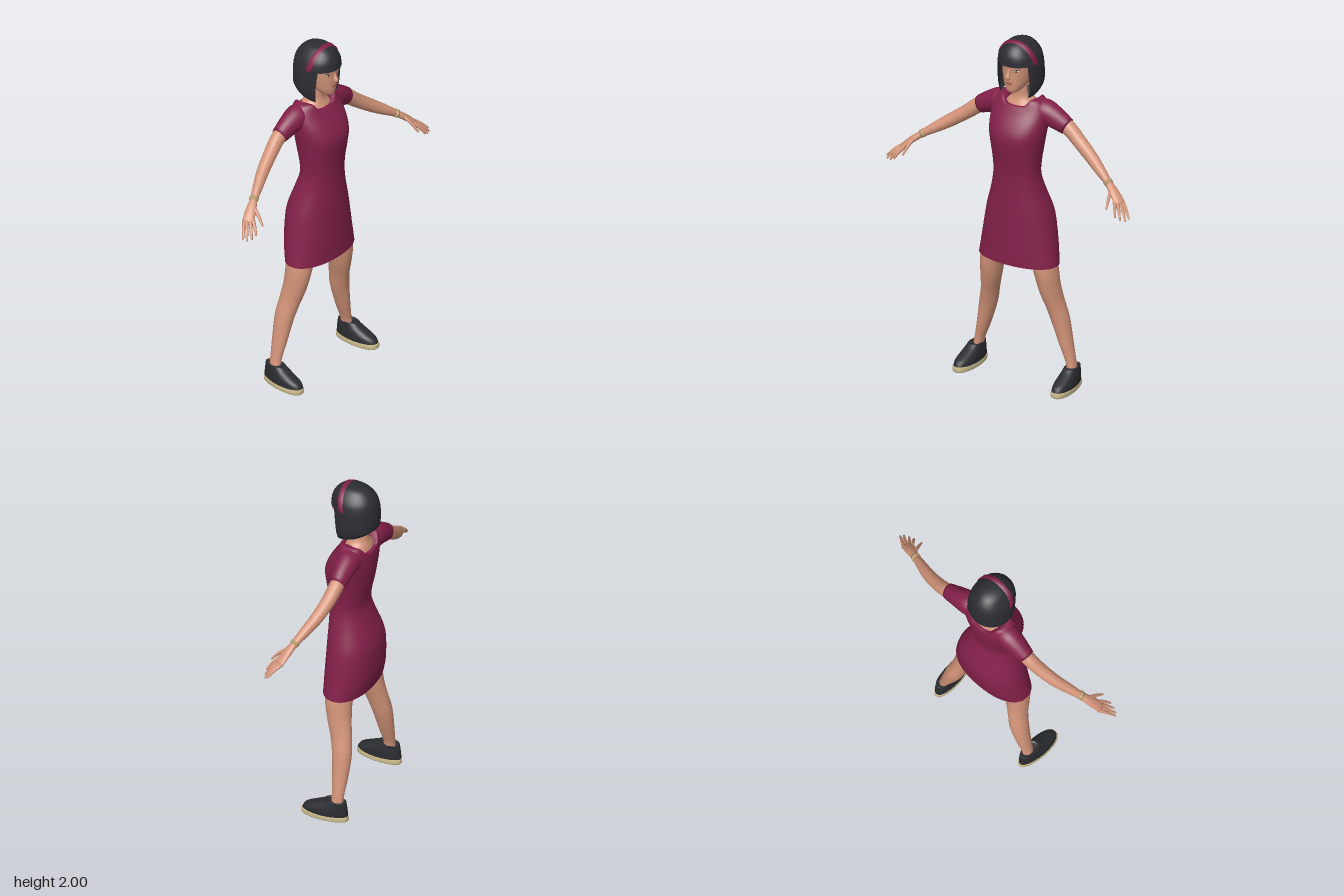
import * as THREE from 'three';

const mat = (name, color, side = THREE.FrontSide) => {
  const m = new THREE.MeshStandardMaterial({ color, side });
  m.name = name;
  return m;
};

// Catmull-Rom smoothing of rows of numbers, n steps per span
function smooth(rows, n) {
  const out = [], at = i => rows[Math.max(0, Math.min(rows.length - 1, i))];
  for (let i = 0; i < rows.length - 1; i++) {
    for (let k = 0; k < n; k++) {
      const t = k / n, [a, b, c, d] = [at(i - 1), at(i), at(i + 1), at(i + 2)];
      out.push(b.map((_, q) => 0.5 * (2 * b[q] + (c[q] - a[q]) * t
        + (2 * a[q] - 5 * b[q] + 4 * c[q] - d[q]) * t * t
        + (3 * b[q] - a[q] - 3 * c[q] + d[q]) * t * t * t)));
    }
  }
  out.push(rows[rows.length - 1]);
  return out;
}

// Skin over a list of rings, optionally capped at both ends
function surface(rings, { closed = true, start = false, end = false } = {}) {
  const n = rings[0].length, pts = rings.flat(), idx = [];
  const span = closed ? n : n - 1;
  for (let i = 0; i < rings.length - 1; i++) {
    for (let j = 0; j < span; j++) {
      const a = i * n + j, b = i * n + (j + 1) % n;
      idx.push(a, b, a + n, b, b + n, a + n);
    }
  }
  const cap = (ring, base, flip) => {
    const c = pts.length;
    const mid = ring.reduce((s, p) => s.add(p), new THREE.Vector3()).divideScalar(n);
    pts.push(mid);
    for (let j = 0; j < n; j++) {
      const a = base + j, b = base + (j + 1) % n;
      if (flip) idx.push(c, b, a); else idx.push(c, a, b);
    }
  };
  if (start) cap(rings[0], 0, true);
  if (end) cap(rings[rings.length - 1], (rings.length - 1) * n, false);
  const g = new THREE.BufferGeometry().setFromPoints(pts);
  g.setIndex(idx);
  g.computeVertexNormals();
  return g;
}

// Horizontal ring from [y, half width, front z, back z]
function oval([y, w, f, b], p = 2, n = 40, a0 = 0, a1 = Math.PI * 2) {
  const full = a1 - a0 > 6.28, pw = v => Math.sign(v) * Math.abs(v) ** (2 / p);
  return Array.from({ length: full ? n : n + 1 }, (_, j) => {
    const a = a0 + (a1 - a0) * j / n;
    return new THREE.Vector3(w * pw(Math.cos(a)), y, (f + b) / 2 - (f - b) / 2 * pw(Math.sin(a)));
  });
}

// Limb along rows [x, y, z, a, b]; a lies along the side vector
function limb(rows, side, s, n = 16, steps = 4) {
  const st = smooth(rows, steps).map(r => [r[0] * s, ...r.slice(1)]);
  const pos = st.map(r => new THREE.Vector3(r[0], r[1], r[2]));
  const ref = new THREE.Vector3(side[0] * s, side[1], side[2]);
  const rings = st.map((r, i) => {
    const t = pos[Math.min(i + 1, pos.length - 1)].clone().sub(pos[Math.max(i - 1, 0)]).normalize();
    const u = ref.clone().addScaledVector(t, -ref.dot(t)).normalize();
    const v = t.clone().cross(u);
    return Array.from({ length: n }, (_, j) => {
      const a = j / n * Math.PI * 2;
      return pos[i].clone().addScaledVector(u, r[3] * Math.cos(a)).addScaledVector(v, r[4] * Math.sin(a));
    });
  });
  return surface(rings, { start: true, end: true });
}

export function createModel() {
  const model = new THREE.Group();
  const skin = mat('skin', 0xd39479), dress = mat('dress cloth', 0x84204a, THREE.DoubleSide);
  const hair = mat('hair', 0x2c2d33, THREE.DoubleSide), shoe = mat('shoe cloth', 0x2b2c31);
  const sole = mat('sole', 0xcdbd8c), gold = mat('bracelet', 0xbfa572);
  const white = mat('eye white', 0xd9d0c6), iris = mat('iris', 0x5f4a2c), lip = mat('lips', 0xa8594f);
  const add = (name, geo, m, parent = model) => {
    const mesh = new THREE.Mesh(geo, m);
    mesh.name = name;
    parent.add(mesh);
    return mesh;
  };

  // Dress body with a squared neckline cut into the top
  const body = smooth([
    [0.71, 0.24, 0.125, -0.125], [0.8, 0.228, 0.125, -0.145], [0.93, 0.208, 0.122, -0.155],
    [1.02, 0.19, 0.12, -0.148], [1.12, 0.158, 0.118, -0.115], [1.22, 0.136, 0.118, -0.083],
    [1.3, 0.138, 0.125, -0.088], [1.38, 0.148, 0.138, -0.105], [1.46, 0.16, 0.143, -0.117],
    [1.53, 0.168, 0.115, -0.124], [1.6, 0.166, 0.07, -0.124], [1.645, 0.145, 0.05, -0.115],
    [1.662, 0.115, 0.045, -0.108], [1.657, 0.085, 0.042, -0.104]], 3).map(r => oval(r, 2.2, 48));
  body.flat().forEach(p => {
    const low = p.z < -0.04 ? 1.607 : 1.624;
    p.y = Math.min(p.y, low + Math.max(0, Math.abs(p.x) - 0.06) * 1.6);
  });
  add('dress', surface(body), dress);

  // Neck and upper chest
  add('neck', surface(smooth([
    [1.56, 0.12, 0.06, -0.105], [1.605, 0.105, 0.044, -0.106], [1.635, 0.08, 0.03, -0.098],
    [1.665, 0.053, 0.02, -0.088], [1.71, 0.047, 0.02, -0.08], [1.78, 0.047, 0.02, -0.08]], 3)
    .map(r => oval(r, 2, 28)), { end: true }), skin);

  // Head and face
  const head = new THREE.Group();
  head.name = 'head';
  model.add(head);
  add('face', surface(smooth([
    [1.713, 0.015, 0.08, 0.045], [1.72, 0.034, 0.094, 0.01], [1.75, 0.058, 0.1, -0.05],
    [1.79, 0.074, 0.102, -0.09], [1.84, 0.084, 0.104, -0.11], [1.9, 0.086, 0.108, -0.12],
    [1.95, 0.068, 0.08, -0.09], [1.975, 0.03, 0.03, -0.05]], 3).map(r => oval(r, 2.15, 32)),
  { start: true, end: true }), skin, head);
  add('nose', limb([[0, 1.86, 0.098, 0.006, 0.008], [0, 1.835, 0.106, 0.008, 0.01],
    [0, 1.812, 0.115, 0.014, 0.015], [0, 1.802, 0.106, 0.01, 0.008]], [1, 0, 0], 1, 12), skin, head);
  const blob = (name, m, x, y, z, sx, sy, sz, turn = 0) => {
    const b = add(name, new THREE.SphereGeometry(1, 14, 10), m, head);
    b.position.set(x, y, z);
    b.scale.set(sx, sy, sz);
    b.rotation.y = turn;
  };
  blob('upperLip', lip, 0, 1.777, 0.101, 0.023, 0.005, 0.006);
  blob('lowerLip', lip, 0, 1.769, 0.1, 0.019, 0.006, 0.007);
  for (const s of [1, -1]) {
    blob('eye', white, s * 0.041, 1.85, 0.091, 0.015, 0.008, 0.006, s * 0.42);
    blob('iris', iris, s * 0.041, 1.85, 0.094, 0.007, 0.0075, 0.005, s * 0.42);
    blob('lashes', hair, s * 0.042, 1.858, 0.092, 0.017, 0.0025, 0.006, s * 0.42);
    blob('eyebrow', hair, s * 0.042, 1.872, 0.094, 0.019, 0.003, 0.004, s * 0.42);
  }

  // Bobbed hair: crown with straight fringe, and a curtain open at the face
  add('hairCrown', surface(smooth([
    [1.877, 0.118, 0.12, -0.148], [1.92, 0.109, 0.116, -0.138], [1.955, 0.088, 0.1, -0.118],
    [1.985, 0.06, 0.068, -0.085], [1.997, 0.03, 0.03, -0.05], [2.0, 0.008, 0, -0.02]], 3)
    .map(r => oval(r, 2.1)), { end: true }), hair, head);
  const curtain = smooth([
    [1.74, 0.07, 0.04, -0.08], [1.69, 0.1, 0.078, -0.11], [1.68, 0.108, 0.088, -0.122],
    [1.72, 0.12, 0.098, -0.138], [1.77, 0.124, 0.106, -0.148], [1.83, 0.122, 0.114, -0.151],
    [1.88, 0.118, 0.12, -0.148]], 3)
    .map(r => oval(r, 2.1, 40, -0.63, Math.PI + 0.63));
  curtain.flat().forEach(p => {
    if (p.y < 1.76) p.y += (0.07 - p.z) * 0.3 * (1.76 - p.y) / 0.08;
  });
  add('hairCurtain', surface(curtain, { closed: false }), hair, head);

  // Headband: a strip arched over the crown
  const band = [[0.1, 0.03], [0.114, 0.03], [0.12, 0], [0.1, 0]].map(([r, z]) =>
    Array.from({ length: 33 }, (_, i) => {
      const a = Math.PI * i / 32;
      return new THREE.Vector3(r * Math.cos(a), 1.88 + r * Math.sin(a), z + 0.024 * Math.sin(a));
    }));
  add('headband', surface(band, { closed: false }), dress, head);

  for (const s of [1, -1]) {
    const side = s > 0 ? 'left' : 'right';
    const part = (name, geo, m) => add(side + name, geo, m);

    // Sleeve, arm and bracelet
    part('Sleeve', limb([[0.09, 1.592, -0.04, 0.06, 0.06], [0.14, 1.588, -0.043, 0.066, 0.07],
      [0.2, 1.566, -0.046, 0.058, 0.063], [0.278, 1.528, -0.05, 0.045, 0.049]], [0, 0, 1], s, 24), dress);
    part('Arm', limb([[0.2, 1.565, -0.046, 0.04, 0.042], [0.28, 1.526, -0.05, 0.04, 0.043],
      [0.36, 1.465, -0.04, 0.038, 0.039], [0.45, 1.402, -0.018, 0.034, 0.036],
      [0.53, 1.35, 0.012, 0.028, 0.029], [0.605, 1.302, 0.041, 0.02, 0.018]], [0, 0, 1], s), skin);
    part('Bracelet', limb([[0.587, 1.314, 0.034, 0.026, 0.024], [0.602, 1.304, 0.04, 0.025, 0.023]],
      [0, 0, 1], s, 16, 1), gold);

    // Hand with four fingers and a thumb
    part('Palm', limb([[0.595, 1.308, 0.037, 0.02, 0.018], [0.65, 1.266, 0.06, 0.03, 0.017],
      [0.698, 1.222, 0.08, 0.032, 0.012]], [-0.5, 0, 0.85], s), skin);
    const fingers = [
      [[0.7, 1.228, 0.057], [0.775, 1.165, 0.112]], [[0.695, 1.226, 0.072], [0.764, 1.155, 0.13]],
      [[0.685, 1.228, 0.086], [0.737, 1.157, 0.142]], [[0.672, 1.234, 0.097], [0.708, 1.17, 0.148]],
      [[0.63, 1.28, 0.07], [0.652, 1.205, 0.148]]];
    fingers.forEach(([a, b], i) => {
      const mid = a.map((v, k) => (v + b[k]) / 2 + (k === 1 ? 0.006 : 0));
      part(i < 4 ? 'Finger' : 'Thumb', limb([[...a, 0.01, 0.01], [...mid, 0.009, 0.009],
        [...b, 0.005, 0.005]], [-0.5, 0, 0.85], s, 8, 3), skin);
    });

    // Leg
    part('Leg', limb([[0.1, 0.93, -0.01, 0.085, 0.09], [0.165, 0.7, -0.002, 0.067, 0.079],
      [0.185, 0.58, -0.014, 0.058, 0.07], [0.206, 0.48, -0.036, 0.049, 0.062],
      [0.23, 0.38, -0.054, 0.049, 0.056], [0.262, 0.25, -0.06, 0.038, 0.045],
      [0.292, 0.14, -0.062, 0.027, 0.034], [0.302, 0.07, -0.06, 0.029, 0.036]], [1, 0, 0], s, 20), skin);

    // Slip-on shoe, turned out a little
    const foot = new THREE.Group();
    foot.name = side + 'Shoe';
    foot.position.x = s * 0.308;
    foot.rotation.y = s * 0.06;
    model.add(foot);
    const taper = rings => {
      rings.flat().forEach(p => { p.x *= p.z < 0 ? 1 + p.z * 1.8 : 1; });
      return rings;
    };
    add('sole', surface(taper([[0, 0.049, 0.138, -0.126], [0.006, 0.053, 0.143, -0.131],
      [0.026, 0.053, 0.143, -0.131], [0.032, 0.049, 0.138, -0.127]].map(r => oval(r, 2.5, 32))),
    { start: true, end: true }), sole, foot);
    add('upper', surface(taper(smooth([[0.028, 0.051, 0.139, -0.127], [0.055, 0.05, 0.124, -0.126],
      [0.08, 0.046, 0.075, -0.123], [0.104, 0.041, 0.025, -0.119], [0.12, 0.038, 0.002, -0.116],
      [0.112, 0.03, -0.012, -0.108]], 3).map(r => oval(r, 2.4, 32))), { end: true }), shoe, foot);
  }
  return model;
}
